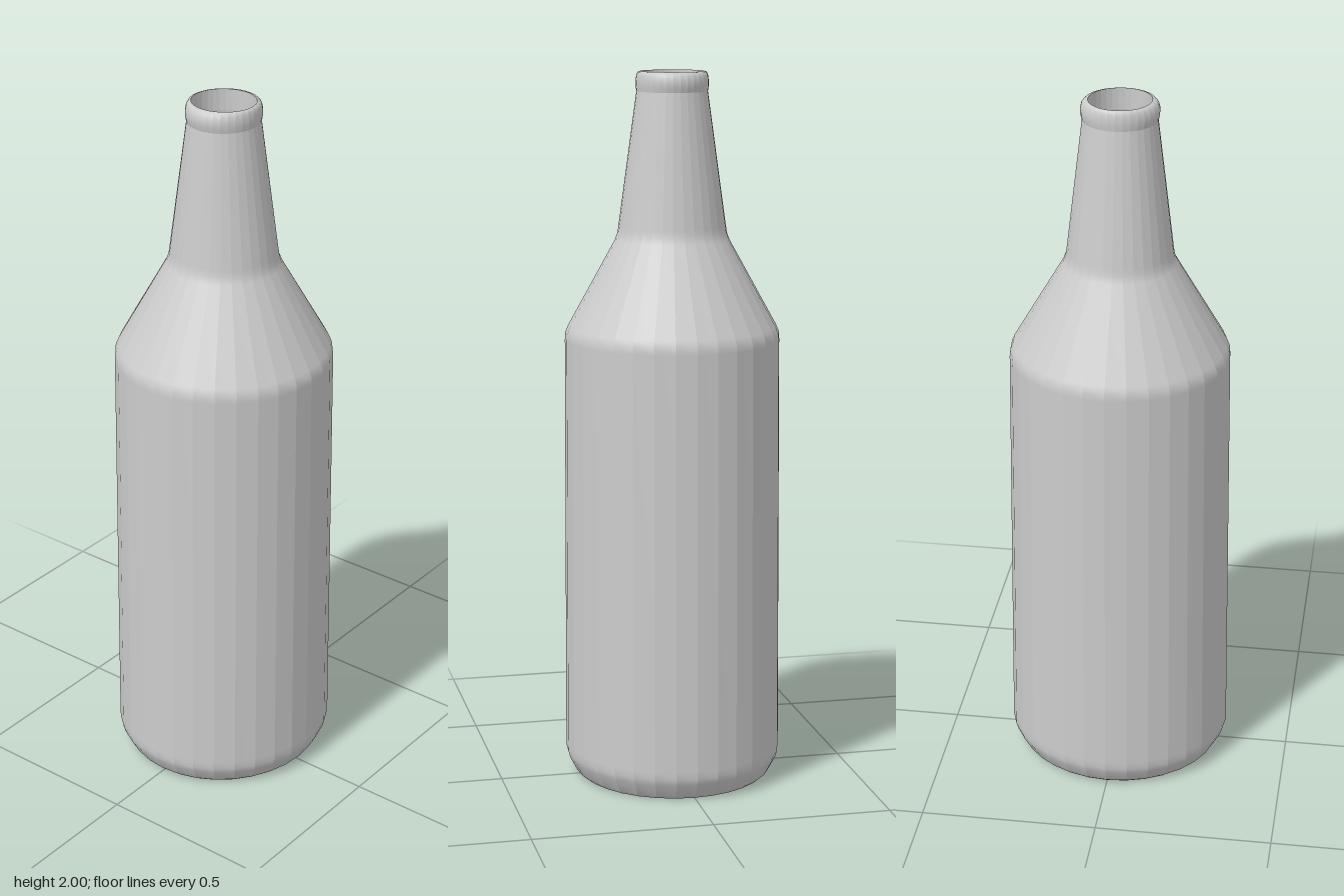
import * as THREE from 'three';
import { mergeGeometries } from 'three/addons/utils/BufferGeometryUtils.js';

const SIDES = 32;

// Lathe with an oval section: rows are [x radius, z radius, height].
// Built in separate columns so the facets stay crisp around, smooth along the height.
// A repeated row makes a sharp edge.
function ovalLathe(rows) {
  const points = rows.map(([rx, , y]) => new THREE.Vector2(rx, y));
  const step = (Math.PI * 2) / SIDES;
  const columns = [];
  for (let s = 0; s < SIDES; s++) {
    const g = new THREE.LatheGeometry(points, 1, s * step, step);
    const pos = g.attributes.position;
    for (let i = 0; i < pos.count; i++) {
      const [rx, rz] = rows[i % rows.length];
      if (rx > 0) pos.setZ(i, (pos.getZ(i) * rz) / rx);
    }
    g.computeVertexNormals();
    columns.push(g);
  }
  return mergeGeometries(columns);
}

export function createModel() {
  const model = new THREE.Group();
  model.name = 'bottle';
  const material = new THREE.MeshStandardMaterial({ color: 0xcccccc });
  const add = (name, rows) => {
    const mesh = new THREE.Mesh(ovalLathe(rows), material);
    mesh.name = name;
    model.add(mesh);
  };

  // Outer glass: flat base, chamfered foot, tapering body, shoulder and neck
  add('outerGlass', [
    [0, 0, 0], [0.28, 0.268, 0], [0.28, 0.268, 0],
    [0.292, 0.28, 0.01], [0.313, 0.3, 0.048], [0.319, 0.305, 0.066], [0.319, 0.306, 0.09],
    [0.307, 0.301, 1.255], [0.305, 0.3, 1.275], [0.297, 0.292, 1.295],
    [0.157, 0.16, 1.535], [0.149, 0.153, 1.555], [0.146, 0.15, 1.575],
    [0.102, 0.099, 1.945],
  ]);

  // Rounded lip around the mouth
  add('lip', [
    [0.102, 0.099, 1.945], [0.106, 0.101, 1.96], [0.107, 0.101, 1.975],
    [0.103, 0.099, 1.99], [0.095, 0.095, 1.998], [0.086, 0.089, 2],
    [0.086, 0.089, 2], [0.086, 0.089, 1.94],
  ]);

  // Inner wall and floor
  add('innerGlass', [
    [0.086, 0.089, 1.94], [0.13, 0.134, 1.57], [0.14, 0.143, 1.53],
    [0.28, 0.275, 1.285], [0.289, 0.283, 1.25], [0.3, 0.288, 0.08],
    [0.265, 0.255, 0.02], [0.265, 0.255, 0.02], [0, 0, 0.02],
  ]);
  return model;
}
